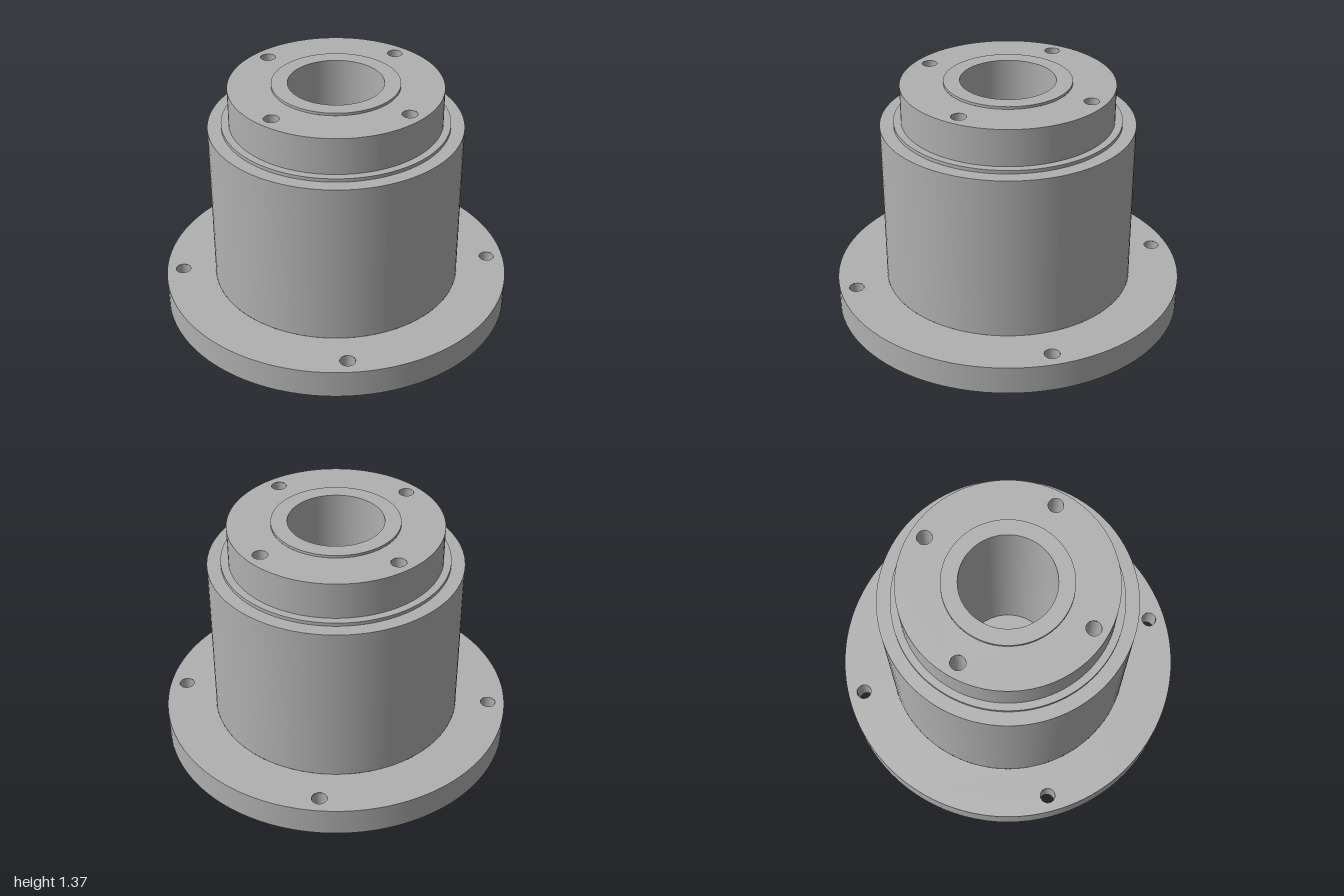
import * as THREE from 'three';
import { mergeGeometries } from 'three/addons/utils/BufferGeometryUtils.js';

const SEGMENTS = 96;

// Turned surface with a sharp edge at every profile point [radius, y].
// Upward runs face outward, inward runs face up, downward runs face the axis.
function turned(profile, segments = SEGMENTS) {
  const bands = [];
  for (let i = 0; i < profile.length - 1; i++) {
    const ends = [profile[i], profile[i + 1]].map(([r, y]) => new THREE.Vector2(r, y));
    bands.push(new THREE.LatheGeometry(ends, segments));
  }
  return mergeGeometries(bands);
}

// Flat ring with round bolt holes, facing up or down
function drilledRing(inner, outer, y, holes, faceUp) {
  const shape = new THREE.Shape().absarc(0, 0, outer, 0, Math.PI * 2);
  shape.holes.push(new THREE.Path().absarc(0, 0, inner, 0, Math.PI * 2, true));
  for (const { x, z, r } of holes) {
    shape.holes.push(new THREE.Path().absarc(x, z, r, 0, Math.PI * 2, true));
  }
  const geometry = new THREE.ShapeGeometry(shape, SEGMENTS);
  geometry.rotateX(faceUp ? -Math.PI / 2 : Math.PI / 2);
  return geometry.translate(0, y, 0);
}

// Four evenly spaced holes on a bolt circle
function boltCircle(radius, startAngle, r) {
  return [0, 1, 2, 3].map((i) => {
    const a = startAngle + (i * Math.PI) / 2;
    return { x: radius * Math.cos(a), z: radius * Math.sin(a), r };
  });
}

export function createModel() {
  const model = new THREE.Group();
  model.name = 'flangedHub';
  const steel = new THREE.MeshStandardMaterial({ color: 0xb0b0b0 });
  steel.name = 'grey steel';

  const add = (name, geometry) => {
    const mesh = new THREE.Mesh(geometry, steel);
    mesh.name = name;
    model.add(mesh);
    return mesh;
  };

  const flangeTop = 0.165, capTop = 1.355, bossTop = 1.37;
  const flangeHoles = boltCircle(0.905, Math.PI / 4, 0.043);
  const capHoles = boltCircle(0.512, 0, 0.042);
  const counterbores = boltCircle(0.512, 0, 0.078);

  // Base flange
  add('flangeRim', turned([[1, 0], [1, flangeTop]]));
  add('flangeTop', drilledRing(0.713, 1, flangeTop, flangeHoles, true));
  add('flangeBottom', drilledRing(0.19, 1, 0, [...flangeHoles, ...counterbores], false));

  // Main barrel, stepped shoulder and cap side
  add('barrel', turned([[0.713, flangeTop], [0.713, 1.123], [0.637, 1.123]]));
  add('shoulder', turned([[0.637, 1.123], [0.637, 1.143], [0.595, 1.143]]));
  add('capSide', turned([[0.595, 1.143], [0.595, capTop]]));
  add('capTop', drilledRing(0.355, 0.595, capTop, capHoles, true));

  // Raised boss around the bore
  add('boss', turned([[0.355, capTop], [0.355, bossTop], [0.265, bossTop]]));

  // Central bore with an inner lip and a bottom recess
  add('bore', turned([
    [0.265, bossTop], [0.265, 0.16], [0.157, 0.16],
    [0.157, 0.12], [0.19, 0.12], [0.19, 0],
  ]));

  // Bolt hole walls
  const flangeHole = turned([[0.043, flangeTop], [0.043, 0]], 32);
  const capHole = turned([[0.042, capTop], [0.042, 0.95], [0.078, 0.95], [0.078, 0]], 32);
  for (const { x, z } of flangeHoles) add('flangeBoltHole', flangeHole).position.set(x, 0, z);
  for (const { x, z } of capHoles) add('counterboredHole', capHole).position.set(x, 0, z);

  return model;
}
